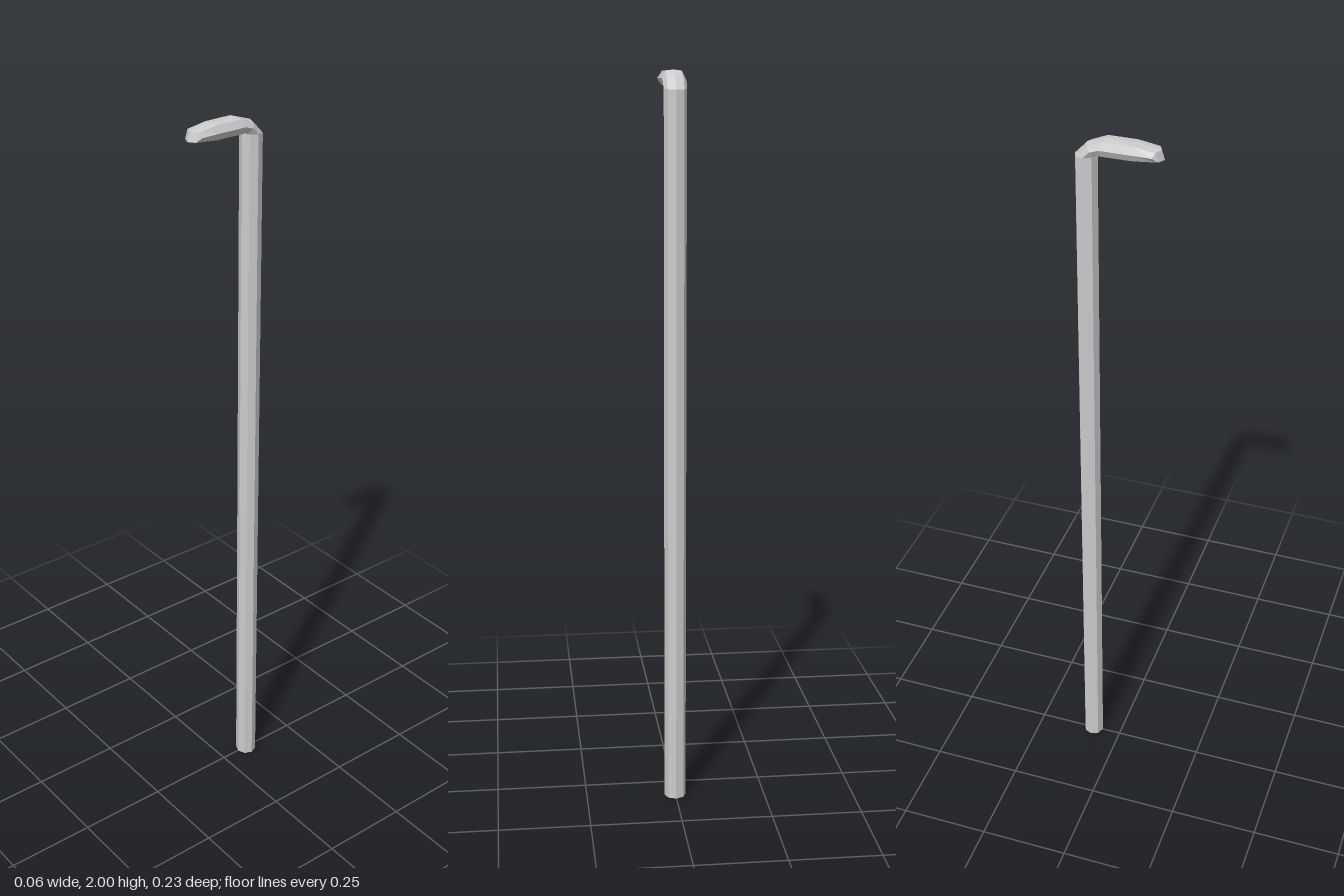
import * as THREE from 'three';

const SIDES = 8;

// One octagonal section: 'back' and 'front' are its [z, y] extremes, r its half width.
// flat < 1 squares off the section; bulge pulls the sides back to round the end in plan.
function ring({ back, front, r = 0.03, flat = 1, bulge = 0 }) {
  return Array.from({ length: SIDES }, (_, i) => {
    const a = (i / SIDES) * Math.PI * 2;
    const s = Math.sin(a), c = Math.cos(a);
    const f = Math.abs(c) < 1e-6 ? 0 : Math.sign(c) * Math.abs(c) ** flat;
    const t = (f + 1) / 2;
    return [
      s * r + 0.001,
      THREE.MathUtils.lerp(back[1], front[1], t),
      THREE.MathUtils.lerp(back[0], front[0], t) - bulge * s * s,
    ];
  });
}

// Faceted skin through a list of sections, optionally closed at the last one
function skin(name, sections, material, capped) {
  const rings = sections.map(ring);
  const index = [];
  for (let k = 0; k < rings.length - 1; k++) {
    for (let i = 0; i < SIDES; i++) {
      const j = (i + 1) % SIDES;
      const a = k * SIDES + i, b = k * SIDES + j;
      index.push(a, b, b + SIDES, a, b + SIDES, a + SIDES);
    }
  }
  if (capped) {
    const o = (rings.length - 1) * SIDES;
    index.push(...[0, 1, 3, 0, 3, 4, 7, 0, 4, 7, 4, 5, 1, 2, 3, 5, 6, 7].map((i) => o + i));
  }
  let geometry = new THREE.BufferGeometry();
  geometry.setAttribute('position', new THREE.Float32BufferAttribute(rings.flat(2), 3));
  geometry.setIndex(index);
  geometry = geometry.toNonIndexed();
  geometry.computeVertexNormals();
  const mesh = new THREE.Mesh(geometry, material);
  mesh.name = name;
  return mesh;
}

export function createModel() {
  const metal = new THREE.MeshStandardMaterial({ color: 0xcccccc, side: THREE.DoubleSide });
  metal.name = 'light grey';

  const foot = { back: [-0.113, 0], front: [-0.055, 0] };
  const neck = { back: [-0.113, 1.95], front: [-0.055, 1.955] };
  const elbow = { back: [-0.08, 1.985], front: [-0.053, 1.956], r: 0.031 };
  const grip = { back: [-0.035, 2.0], front: [-0.05, 1.957], r: 0.031, flat: 0.4 };
  const middle = { back: [0.04, 1.999], front: [0.04, 1.958], r: 0.031, flat: 0.3 };
  const tip = { back: [0.105, 1.99], front: [0.113, 1.965], r: 0.03, flat: 0.3, bulge: 0.02 };

  const model = new THREE.Group();
  model.name = 'cane';
  model.add(
    skin('shaft', [foot, neck], metal, false), // open at the foot
    skin('handle', [neck, elbow, grip, middle, tip], metal, true),
  );
  return model;
}
